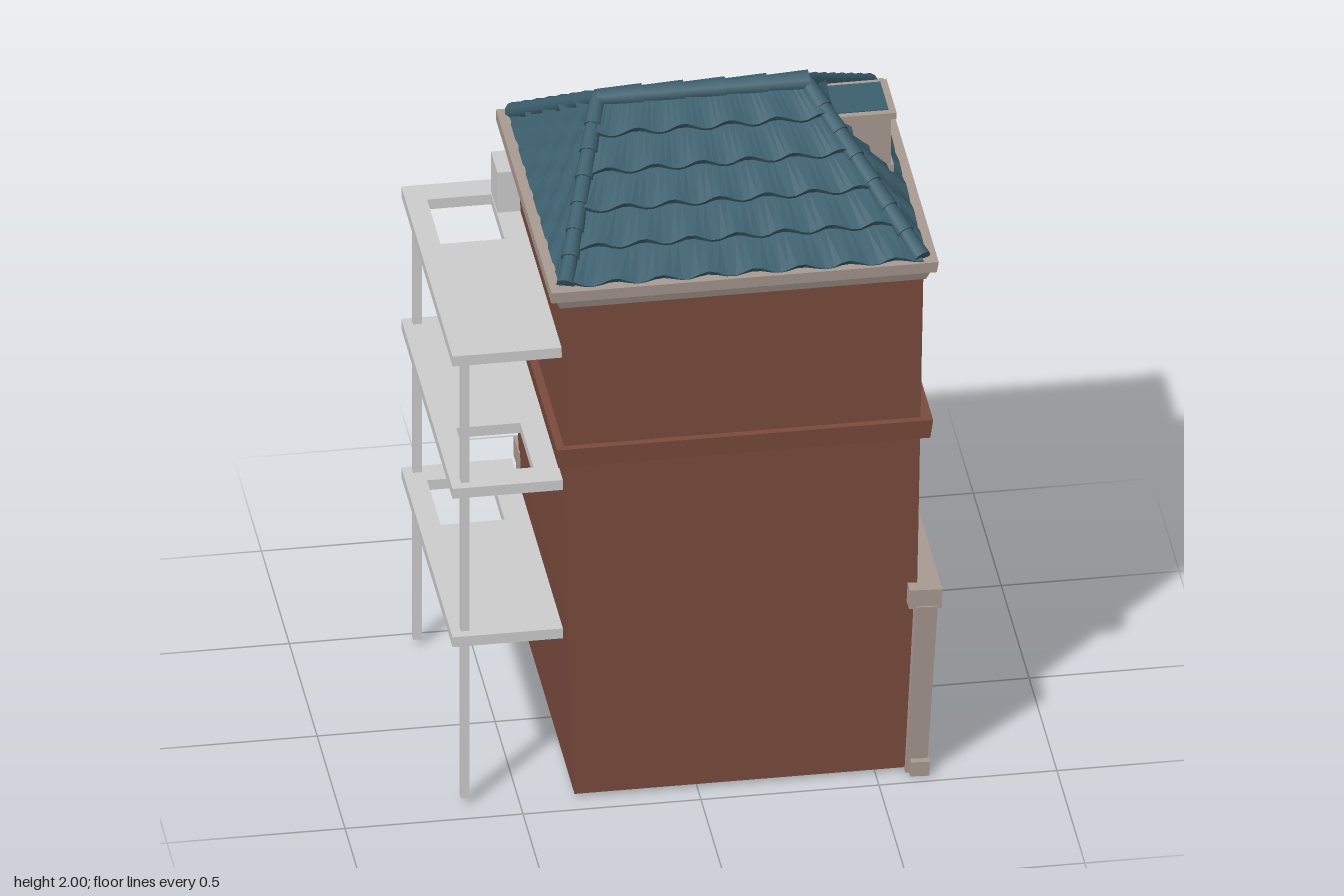
import * as THREE from 'three';

const mat = (name, color, extra = {}) => {
  const m = new THREE.MeshStandardMaterial({ color, ...extra });
  m.name = name;
  return m;
};
const brick = mat('brick', 0x7a4b3d);
const trim = mat('trim', 0xa89b92);
const glass = mat('glass', 0x384672);
const tile = mat('roofTile', 0x3c5f6d, { side: THREE.DoubleSide });
const concrete = mat('concrete', 0xcdcdcd);

function add(parent, name, geo, material, x = 0, y = 0, z = 0) {
  const m = new THREE.Mesh(geo, material);
  m.name = name;
  m.position.set(x, y, z);
  parent.add(m);
  return m;
}
// box given by its limits
const block = (parent, name, material, x0, x1, y0, y1, z0, z1) =>
  add(parent, name, new THREE.BoxGeometry(x1 - x0, y1 - y0, z1 - z0), material, (x0 + x1) / 2, (y0 + y1) / 2, (z0 + z1) / 2);

// four-sided block whose bottom and top rectangles [x0, x1, z0, z1] differ
function frustum(parent, name, material, y0, y1, bottom, top) {
  const geo = new THREE.BoxGeometry(1, 1, 1), p = geo.attributes.position;
  for (let i = 0; i < p.count; i++) {
    const r = p.getY(i) > 0 ? top : bottom;
    p.setXYZ(i, r[p.getX(i) > 0 ? 1 : 0], p.getY(i) > 0 ? y1 : y0, r[p.getZ(i) > 0 ? 3 : 2]);
  }
  geo.computeVertexNormals();
  return add(parent, name, geo, material);
}

// a local frame on a wall: x right, y up, z outwards, leaning out as it rises
function facade(parent, name, x, z, turn, lean) {
  const g = new THREE.Group();
  g.name = name;
  g.position.set(x, 0, z);
  g.rotation.set(lean, turn, 0, 'YXZ');
  parent.add(g);
  return g;
}

function sashWindow(wall, u, v, w, h, divided) {
  const g = new THREE.Group(), a = w / 2, b = h / 2, j = 0.024;
  g.name = 'window';
  g.position.set(u, v, 0);
  wall.add(g);
  block(g, 'pane', glass, -a + 0.01, a - 0.01, -b, b, -0.004, 0.004);
  for (const s of [-1, 1]) block(g, 'jamb', trim, s * (a - j / 2) - j / 2, s * (a - j / 2) + j / 2, -b, b, -0.02, 0.013);
  block(g, 'lintel', trim, -a - 0.006, a + 0.006, b - 0.027, b, -0.02, 0.02);
  block(g, 'sill', trim, -a - 0.004, a + 0.004, -b, -b + 0.032, -0.02, 0.022);
  if (divided) {
    block(g, 'transom', trim, -a, a, b - 0.13, b - 0.107, -0.02, 0.013);
    block(g, 'mullion', trim, -0.01, 0.01, b - 0.12, b, -0.02, 0.011);
  }
}

// half ring, or half disc when inner is 0
function arch(outer, inner, depth) {
  const s = new THREE.Shape();
  s.absarc(0, 0, outer, 0, Math.PI, false);
  if (inner) s.absarc(0, 0, inner, Math.PI, 0, true);
  return new THREE.ExtrudeGeometry(s, { depth, bevelEnabled: false, curveSegments: 14 });
}

function paneRow(g, u0, u1, v0, v1) {
  const step = (u1 - u0) / 3;
  for (const i of [1, 2]) block(g, 'mullion', trim, u0 + i * step - 0.011, u0 + i * step + 0.011, v0, v1, 0, 0.035);
  block(g, 'bar', trim, u0, u1, v0 - 0.02, v0, 0, 0.037);
}

function archBay(g, u0, u1) {
  const mid = (u0 + u1) / 2, r = (u1 - u0) / 2;
  block(g, 'baseBoard', trim, u0, u1, 0, 0.045, 0, 0.04);
  block(g, 'sill', trim, u0, u1, 0.045, 0.062, 0, 0.034);
  block(g, 'bar', trim, u0, u1, 0.28, 0.3, 0, 0.035);
  add(g, 'archRing', arch(r, r - 0.03, 0.035), trim, mid, 0.3, 0);
  paneRow(g, u0, u1, 0.46, 0.56);
}

function doorBay(g, u0, u1) {
  const mid = (u0 + u1) / 2;
  block(g, 'door', trim, u0, u1, 0, 0.34, 0, 0.03);
  block(g, 'doorPane', glass, mid - 0.09, mid + 0.09, 0.115, 0.2, 0.028, 0.033);
  add(g, 'doorFanlight', arch(0.09, 0, 0.005), glass, mid, 0.212, 0.028).scale.y = 0.8;
  block(g, 'doorLintel', trim, mid - 0.1, mid + 0.02, 0.32, 0.33, 0.02, 0.045);
  paneRow(g, u0, u1, 0.36, 0.44);
  paneRow(g, u0, u1, 0.46, 0.56);
}

// pillars: centre positions; bays lie between them
function shopfront(g, pillars, bays, tilt) {
  const n = pillars.length - 1;
  block(g, 'shopGlass', glass, pillars[0], pillars[n], 0.02, 0.56, 0.005, 0.014);
  pillars.forEach((u, i) => {
    const hw = i === 0 || i === n ? 0.03 : 0.023;
    const p = block(g, 'pillar', trim, u - hw, u + hw, 0, 0.56, -0.01, 0.05);
    if (i === 0) p.rotation.z = tilt;
    block(g, 'pillarFoot', trim, u - hw - 0.004, u + hw + 0.004, 0, 0.045, 0, 0.054);
  });
  bays.forEach((bay, i) => bay(g, pillars[i] + 0.026, pillars[i + 1] - 0.026));
  block(g, 'shopCornice', trim, pillars[0] - 0.045, pillars[n] + 0.035, 0.55, 0.61, -0.03, 0.062);
}

// one roof side: overlapping wavy courses from eave a-b up to ridge c-d
function roofSide(parent, a, b, c, d, rows = 5) {
  const n = b.clone().sub(a).cross(c.clone().sub(a)).normalize();
  const across = Math.ceil(a.distanceTo(b) / 0.025), pos = [];
  const at = (s, t, lift) => a.clone().lerp(b, s).lerp(c.clone().lerp(d, s), t).addScaledVector(n, lift);
  const quad = (p, q, r, s) => [p, q, r, p, r, s].forEach(v => pos.push(v.x, v.y, v.z));
  for (let i = 0; i < rows; i++) {
    const edge = (s) => {
      const t = i / rows, width = at(0, t, 0).distanceTo(at(1, t, 0));
      const wave = Math.sin((s - 0.5) * width * 48 + i * 1.3);
      return { t: t + 0.014 * wave - 0.012, lift: 0.019 + 0.004 * wave };
    };
    for (let k = 0; k < across; k++) {
      const s0 = k / across, s1 = (k + 1) / across, e0 = edge(s0), e1 = edge(s1), t1 = (i + 1) / rows;
      const p = at(s0, e0.t, e0.lift), q = at(s1, e1.t, e1.lift);
      quad(p, q, at(s1, t1, 0.003), at(s0, t1, 0.003));
      quad(at(s0, e0.t, -0.004), at(s1, e1.t, -0.004), q, p);
    }
  }
  const geo = new THREE.BufferGeometry();
  geo.setAttribute('position', new THREE.Float32BufferAttribute(pos, 3));
  geo.computeVertexNormals();
  add(parent, 'roofTiles', geo, tile);
}

// row of overlapping rounded cap tiles
function capRow(parent, name, from, to, count, r) {
  const dir = to.clone().sub(from), len = dir.length() / count;
  const q = new THREE.Quaternion().setFromUnitVectors(new THREE.Vector3(0, 1, 0), dir.clone().normalize());
  for (let i = 0; i < count; i++) {
    const m = add(parent, name, new THREE.CylinderGeometry(r, r * 0.8, len * 1.12, 10), tile);
    m.position.copy(from).addScaledVector(dir, (i + 0.5) / count);
    m.quaternion.copy(q);
  }
}

function balcony(parent, y, z0, z1) {
  const s = new THREE.Shape([[-0.69, -0.47], [-0.38, -0.47], [-0.38, 0.45], [-0.69, 0.45]].map(p => new THREE.Vector2(...p)));
  s.holes.push(new THREE.Path([[-0.63, z0], [-0.63, z1], [-0.45, z1], [-0.45, z0]].map(p => new THREE.Vector2(...p))));
  const geo = new THREE.ExtrudeGeometry(s, { depth: 0.032, bevelEnabled: false }).rotateX(Math.PI / 2);
  add(parent, 'balconySlab', geo, concrete, 0, y, 0);
}

export function createModel() {
  const house = new THREE.Group();
  house.name = 'cornerHouse';

  // brick walls and string course
  frustum(house, 'lowerWalls', brick, 0.008, 0.58, [-0.345, 0.592, -0.44, 0.435], [-0.365, 0.616, -0.44, 0.442]);
  frustum(house, 'upperWalls', brick, 0.58, 1.63, [-0.365, 0.616, -0.44, 0.442], [-0.387, 0.632, -0.455, 0.456]);
  frustum(house, 'stringCourse', brick, 1.09, 1.15, [-0.395, 0.65, -0.462, 0.465], [-0.4, 0.657, -0.465, 0.47]);

  // shopfronts on the left and back sides
  const left = Math.PI / 2;
  shopfront(facade(house, 'leftShopfront', 0.592, 0, left, 0.045), [-0.44, -0.142, 0.165, 0.455], [archBay, doorBay, archBay], 0.07);
  shopfront(facade(house, 'backShopfront', 0, -0.44, Math.PI, 0), [-0.615, -0.295, 0.02, 0.335], [archBay, archBay, archBay], 0.03);

  // upper windows
  const leftWall = facade(house, 'leftWindows', 0.606, 0, left, 0.0165);
  const backWall = facade(house, 'backWindows', 0, -0.432, Math.PI, 0.0144);
  for (const [v, small] of [[0.85, 0.91], [1.355, 1.43]]) {
    for (const u of [-0.217, 0.19]) sashWindow(leftWall, u, v, 0.19, 0.315, true);
    sashWindow(backWall, -0.37, v, 0.19, 0.315, true);
    sashWindow(backWall, 0.08, small, 0.19, 0.17, false);
  }

  // eaves cornice
  frustum(house, 'corniceMoulding', trim, 1.605, 1.64, [-0.39, 0.638, -0.462, 0.462], [-0.405, 0.652, -0.49, 0.475]);
  frustum(house, 'cornice', trim, 1.638, 1.672, [-0.418, 0.665, -0.508, 0.485], [-0.418, 0.67, -0.508, 0.488]);

  // hipped roof
  const V = (x, y, z) => new THREE.Vector3(x, y, z);
  const ridge = [V(-0.205, 1.968, -0.045), V(0.38, 1.968, -0.045)];
  const eave = [V(-0.372, 1.668, 0.45), V(0.625, 1.668, 0.46), V(0.625, 1.668, -0.482), V(-0.372, 1.668, -0.482)];
  const above = [ridge[0], ridge[1], ridge[1], ridge[0]];
  eave.forEach((corner, i) => {
    const j = (i + 1) % 4;
    roofSide(house, corner, eave[j], above[i], above[j]);
    capRow(house, 'hipCap', above[i], corner.clone().setY(1.678), 7, 0.026);
  });
  capRow(house, 'ridgeCap', ridge[0], ridge[1], 5, 0.032);

  // dormer
  block(house, 'dormerWalls', trim, 0.36, 0.595, 1.705, 1.885, -0.12, 0.04);
  block(house, 'dormerRoofEdge', trim, 0.36, 0.62, 1.88, 1.9, -0.132, 0.052);
  block(house, 'dormerRoof', tile, 0.37, 0.6, 1.897, 1.903, -0.115, 0.033);
  const dormer = facade(house, 'dormerWindow', 0.595, -0.04, left, 0);
  block(dormer, 'pane', glass, -0.062, 0.062, 1.735, 1.872, -0.002, 0.004);
  block(dormer, 'mullion', trim, -0.009, 0.009, 1.73, 1.88, 0, 0.01);
  block(dormer, 'sill', trim, -0.087, 0.087, 1.705, 1.73, 0, 0.018);
  for (const s of [-1, 1]) block(dormer, 'jamb', trim, s * 0.071 - 0.011, s * 0.071 + 0.011, 1.71, 1.885, 0, 0.01);

  // balconies with stair openings, posts and small roof hatch
  balcony(house, 0.558, -0.39, -0.15);
  balcony(house, 1.04, 0.13, 0.37);
  balcony(house, 1.47, -0.39, -0.15);
  for (const z of [-0.447, 0.41]) block(house, 'balconyPost', concrete, -0.662, -0.638, 0.015, 1.445, z - 0.012, z + 0.012);
  block(house, 'hatch', concrete, -0.448, -0.38, 1.465, 1.6, -0.405, -0.29);
  return house;
}
